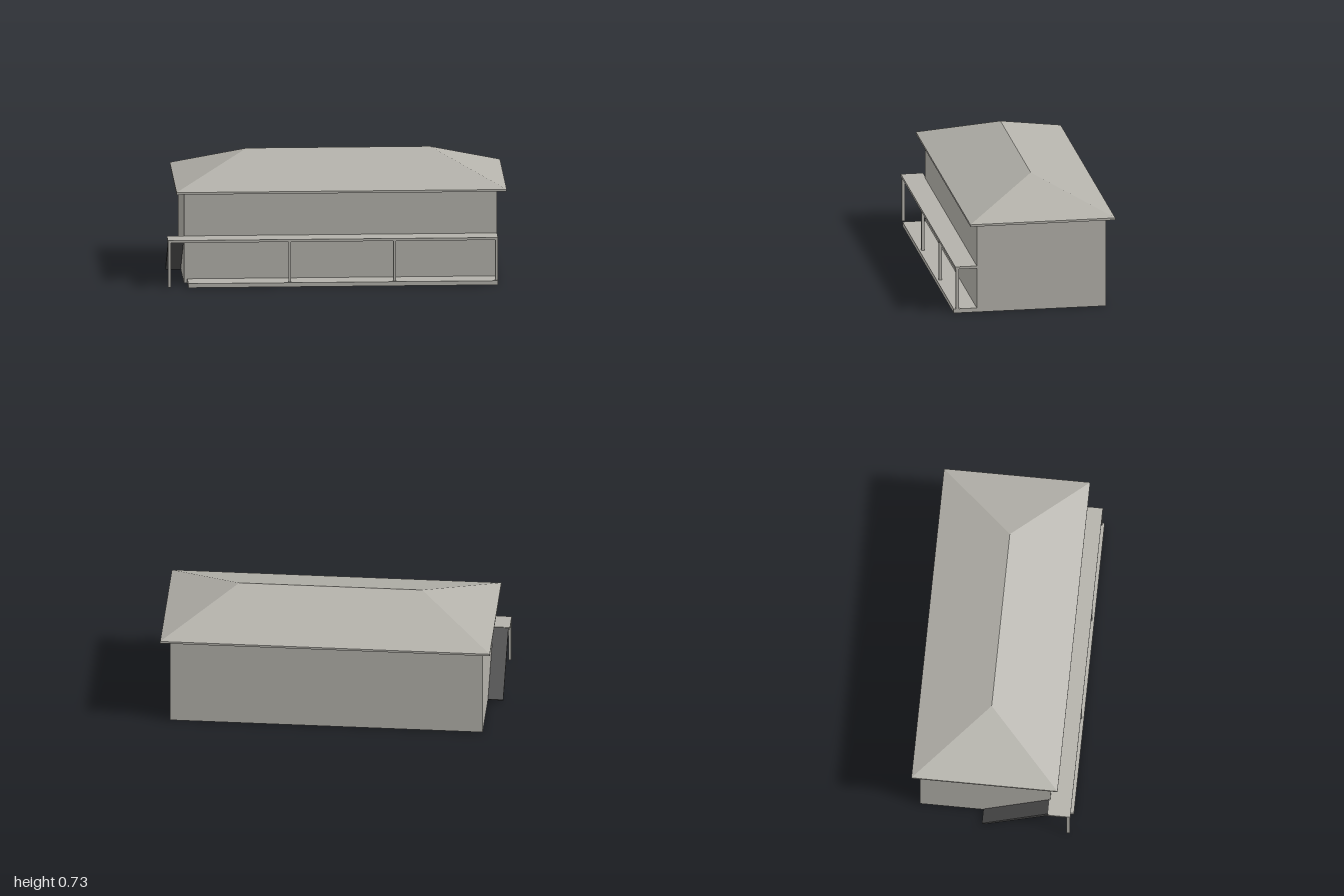
import * as THREE from 'three';

export function createModel() {
  const model = new THREE.Group();
  const plaster = new THREE.MeshStandardMaterial({ color: 0xb3b1aa, side: THREE.DoubleSide });
  plaster.name = 'warm grey plaster';
  const darkSteel = new THREE.MeshStandardMaterial({ color: 0x4c4c4c });
  darkSteel.name = 'dark grey steel';

  function add(name, geometry, material = plaster) {
    const mesh = new THREE.Mesh(geometry, material);
    mesh.name = name;
    model.add(mesh);
    return mesh;
  }

  // Box given by its limits along each axis
  function block(x0, x1, y0, y1, z0, z1) {
    return new THREE.BoxGeometry(x1 - x0, y1 - y0, z1 - z0)
      .translate((x0 + x1) / 2, (y0 + y1) / 2, (z0 + z1) / 2);
  }

  // Walls: four-sided shell, open below
  const walls = new THREE.CylinderGeometry(Math.SQRT1_2, Math.SQRT1_2, 1, 4, 1, true, Math.PI / 4)
    .toNonIndexed();
  walls.scale(1.845, 0.541, 0.77).translate(0.0225, 0.2705, -0.045);
  walls.computeVertexNormals();
  add('walls', walls);

  // Eaves slab with overhang, and hipped roof drawn in to a ridge
  const eave = [-0.945, 1.0, 0.541, 0.554, -0.477, 0.387];
  add('eaves', block(...eave));
  const roof = block(eave[0], eave[1], 0.554, 0.727, eave[4], eave[5]);
  const p = roof.attributes.position;
  for (let i = 0; i < p.count; i++) {
    if (p.getY(i) > 0.7) {
      p.setX(i, p.getX(i) < 0 ? -0.513 : 0.568);
      p.setZ(i, -0.045);
    }
  }
  roof.computeVertexNormals();
  add('hippedRoof', roof);

  // Porch floor, canopy and posts; the outermost post reaches the ground
  add('porchFloor', block(-0.88, 0.945, 0, 0.025, 0.34, 0.478));
  add('porchCanopy', block(-1.0, 0.945, 0.268, 0.283, 0.335, 0.468));
  for (const [x, base] of [[-0.99, 0], [-0.281, 0.025], [0.336, 0.025], [0.937, 0.025]]) {
    add('porchPost', block(x - 0.008, x + 0.008, base, 0.268, 0.447, 0.465));
  }

  // Sloping stair flight beside the house, rising to the canopy
  const profile = new THREE.Shape([
    [-0.055, 0.012], [-0.04, 0], [0.36, 0.265], [0.36, 0.268], [0.335, 0.28],
  ].map(([z, y]) => new THREE.Vector2(z, y)));
  const flight = new THREE.ExtrudeGeometry(profile, { depth: 0.09, bevelEnabled: false })
    .rotateY(-Math.PI / 2).translate(-0.901, 0, 0);
  add('stairFlight', flight, darkSteel);

  return model;
}
